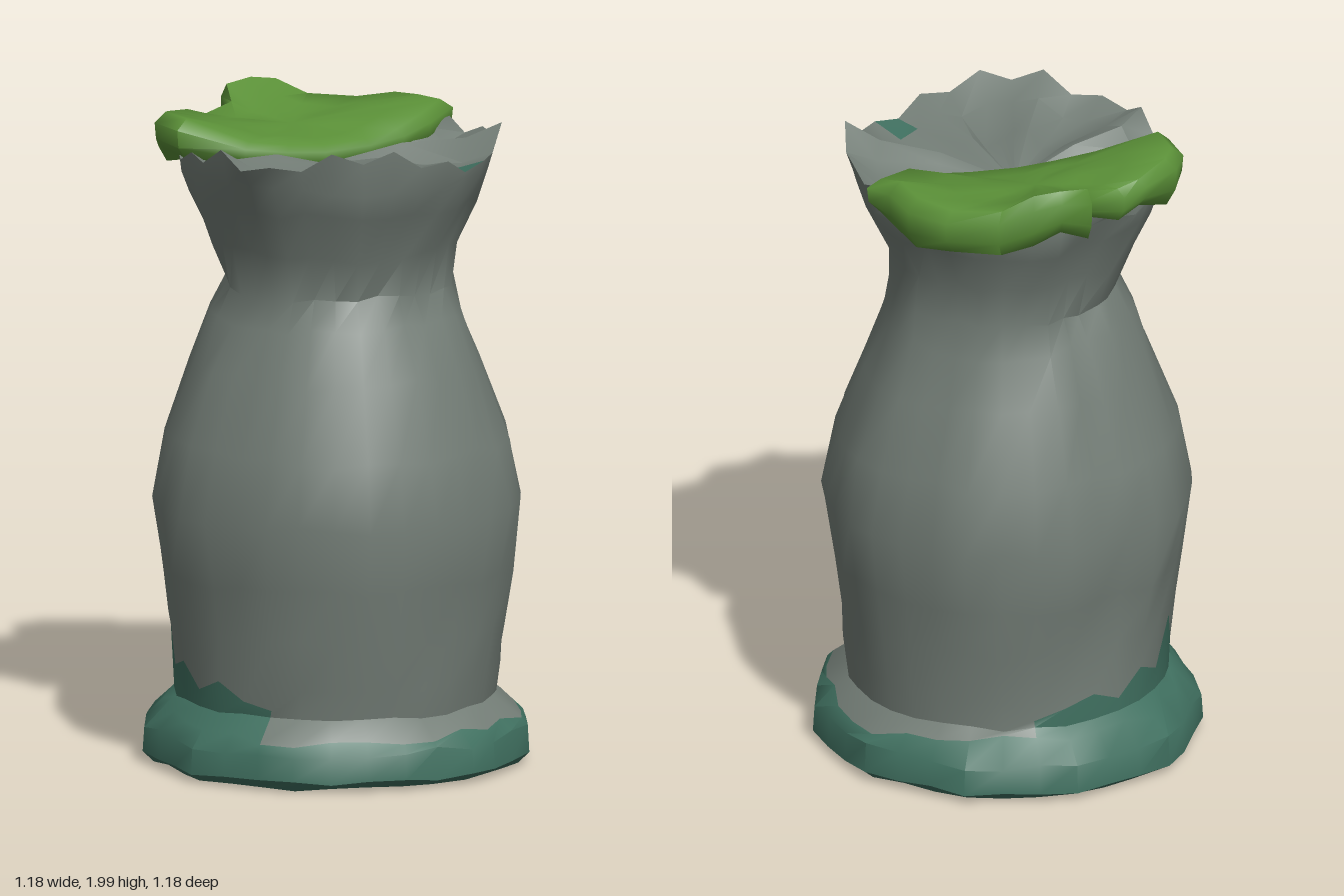
import * as THREE from 'three';
import { toCreasedNormals } from 'three/addons/utils/BufferGeometryUtils.js';

const stone = new THREE.MeshStandardMaterial({ color: 0x737d76 });
stone.name = 'grey stone';
const algae = new THREE.MeshStandardMaterial({ color: 0x407060 });
algae.name = 'teal algae';
const moss = new THREE.MeshStandardMaterial({ color: 0x5a8f37 });
moss.name = 'green moss';

const N = 32;
const TAU = Math.PI * 2;

// Repeatable noise in -1..1
function noise(i, j) {
  const s = Math.sin(i * 12.9898 + j * 78.233 + 3.1) * 43758.5453;
  return 2 * (s - Math.floor(s)) - 1;
}

// Skin closed loops of points, listed from the bottom up and counter-clockwise from above;
// the first and last loops are collapsed to a point
function loft(rings, materials, creaseAngle, pick = () => 0) {
  const n = rings[0].length;
  const index = materials.map(() => []);
  for (let i = 0; i < rings.length - 1; i++) {
    for (let j = 0; j < n; j++) {
      const k = (j + 1) % n;
      const a = i * n + j, b = i * n + k, c = a + n, d = b + n;
      const list = index[pick(i, j)];
      if (i > 0) list.push(a, b, d);
      if (i < rings.length - 2) list.push(a, d, c);
    }
  }
  const geo = new THREE.BufferGeometry();
  geo.setAttribute('position', new THREE.Float32BufferAttribute(rings.flat(2), 3));
  geo.setIndex(index.flat());
  let start = 0;
  index.forEach((list, m) => {
    geo.addGroup(start, list.length, m);
    start += list.length;
  });
  return new THREE.Mesh(toCreasedNormals(geo, creaseAngle), materials);
}

function loop(fn) {
  return Array.from({ length: N }, (_, j) => {
    const a = (j / N) * TAU;
    const [r, y, dz = 0] = fn(j, a);
    return [r * Math.sin(a), y, r * Math.cos(a) + dz];
  });
}

function pillar() {
  const rings = [];
  // Chunky foot: every third column is a corner, the others lie on the chord
  const foot = (j) => (j % 3 === 0 ? 1.0 : 0.975) + 0.012 * noise(j >> 1, 5);
  rings.push(loop(() => [0, 0.02]));
  rings.push(loop((j) => [0.56 * foot(j), 0.008 + 0.006 * noise(j, 1)]));
  rings.push(loop((j) => [0.595 * foot(j), 0.03 + 0.01 * noise(j, 2)]));
  rings.push(loop((j) => [0.59 * foot(j), 0.115 + 0.012 * noise(j, 3)]));
  // Ragged top of the algae across the ledge
  rings.push(loop((j, a) => {
    const t = THREE.MathUtils.clamp(0.4 - 0.35 * Math.cos(a) + 0.35 * noise(j, 4), 0, 0.95);
    return [THREE.MathUtils.lerp(0.575 * foot(j), 0.495, t), 0.14 + 0.06 * t];
  }));
  const algaeTop = rings.length - 1;
  rings.push(loop((j) => [0.485, 0.205 + 0.008 * noise(j, 6)]));
  // Algae spikes climbing the back of the body
  const stained = (j) => j >= 14 && j < 26;
  const spike = [0, 0.03, 0.06, 0.02, 0.09, 0.05, 0.19, 0.07, 0.1, 0.03, 0.07, 0.02, 0];
  rings.push(loop((j) => {
    const climb = j >= 14 && j <= 26 ? 0.015 + spike[j - 14] : 0.08;
    return [0.488 + climb * 0.06, 0.215 + climb, 0.006]; 
  }));
  // Waisted body: radius, height
  const profile = [
    [0.504, 0.44], [0.525, 0.6], [0.555, 0.8], [0.515, 1.0],
    [0.435, 1.22], [0.375, 1.38], [0.335, 1.47], [0.365, 1.6], [0.43, 1.74], [0.462, 1.82],
  ];
  profile.forEach(([r, y], i) => rings.push(loop((j, a) => {
    const column = noise(j >> 1, 9) * 0.014 + noise(j, i + 21) * 0.008;
    // Overhanging lump on the left side of the neck
    const lump = i === 6 ? 0.03 * Math.max(0, Math.cos(a - 1.9)) : 0;
    return [r + column + lump, y + 0.015 * noise(j, i + 41), i < 7 ? 0.012 : 0.005];
  })));
  // Jagged rim
  const rim = [1.9, 1.87, 1.95, 1.9, 1.9, 1.88, 1.88, 1.88, 1.88, 1.88, 1.88, 1.89, 1.93, 1.9, 1.95, 1.95];
  const rimY = (j) => (j % 2 ? (rim[j >> 1] + rim[((j >> 1) + 1) % 16]) / 2 - 0.035 : rim[j >> 1]);
  rings.push(loop((j, a) => [0.478 + 0.01 * Math.cos(a) + 0.018 * noise(j, 60), rimY(j)]));
  const rimRing = rings.length - 1;
  // Dished top with radial folds
  const fold = (j) => (j % 4 < 2 ? 0.02 : -0.02);
  rings.push(loop((j) => [0.4, 0.55 * rimY(j) + 0.45 * 1.84 + 0.5 * fold(j) - 0.01, -0.01]));
  rings.push(loop((j) => [0.22, 0.3 * rimY(j) + 0.7 * 1.825 + fold(j), -0.025]));
  rings.push(loop(() => [0, 1.815, -0.04]));
  return loft(rings, [stone, algae], 0.75, (i, j) => {
    const climbing = i <= algaeTop + 1 && stained(j);
    const fleck = i === rimRing && j === 1;
    return i < algaeTop || climbing || fleck ? 1 : 0;
  });
}

function mossCap() {
  // x, z, top height, lower edge height
  const edge = [
    [0, -0.04, 1.865, 1.8], [0.15, 0, 1.87, 1.81], [0.27, 0.02, 1.885, 1.82], [0.37, 0.03, 1.92, 1.83],
    [0.52, -0.03, 1.94, 1.84], [0.485, -0.1, 1.95, 1.79], [0.495, -0.22, 1.94, 1.78], [0.43, -0.33, 1.92, 1.79],
    [0.31, -0.44, 1.93, 1.79], [0.22, -0.495, 1.98, 1.82], [0.14, -0.53, 1.99, 1.86], [0.04, -0.54, 1.98, 1.82],
    [0, -0.475, 1.94, 1.86], [-0.12, -0.47, 1.92, 1.82], [-0.19, -0.485, 1.94, 1.86], [-0.33, -0.43, 1.96, 1.81],
    [-0.38, -0.39, 1.97, 1.86], [-0.41, -0.26, 1.97, 1.85], [-0.25, -0.13, 1.895, 1.83], [-0.12, -0.08, 1.875, 1.81],
  ];
  const cx = 0.06, cz = -0.25;
  const ring = (s, height) => edge.map(([x, z, top, low], j) =>
    [cx + (x - cx) * s, height(top, low, j), cz + (z - cz) * s]);
  return loft([
    ring(0, () => 1.82),
    ring(0.93, (t, l) => l),
    ring(0.99, (t, l) => l + (t - l) * 0.3),
    ring(1.0, (t, l) => l + (t - l) * 0.75),
    ring(0.92, (t) => t + 0.003),
    ring(0.6, (t, l, j) => 0.55 * t + 0.45 * 1.9 + 0.008 * noise(j, 80)),
    ring(0.3, (t) => 0.25 * t + 0.75 * 1.9),
    ring(0, () => 1.9),
  ], [moss], 1.2);
}

export function createModel() {
  const model = new THREE.Group();
  model.name = 'mossy stone pillar';
  const body = pillar();
  body.name = 'stone pillar';
  const cap = mossCap();
  cap.name = 'moss cap';
  model.add(body, cap);
  return model;
}
